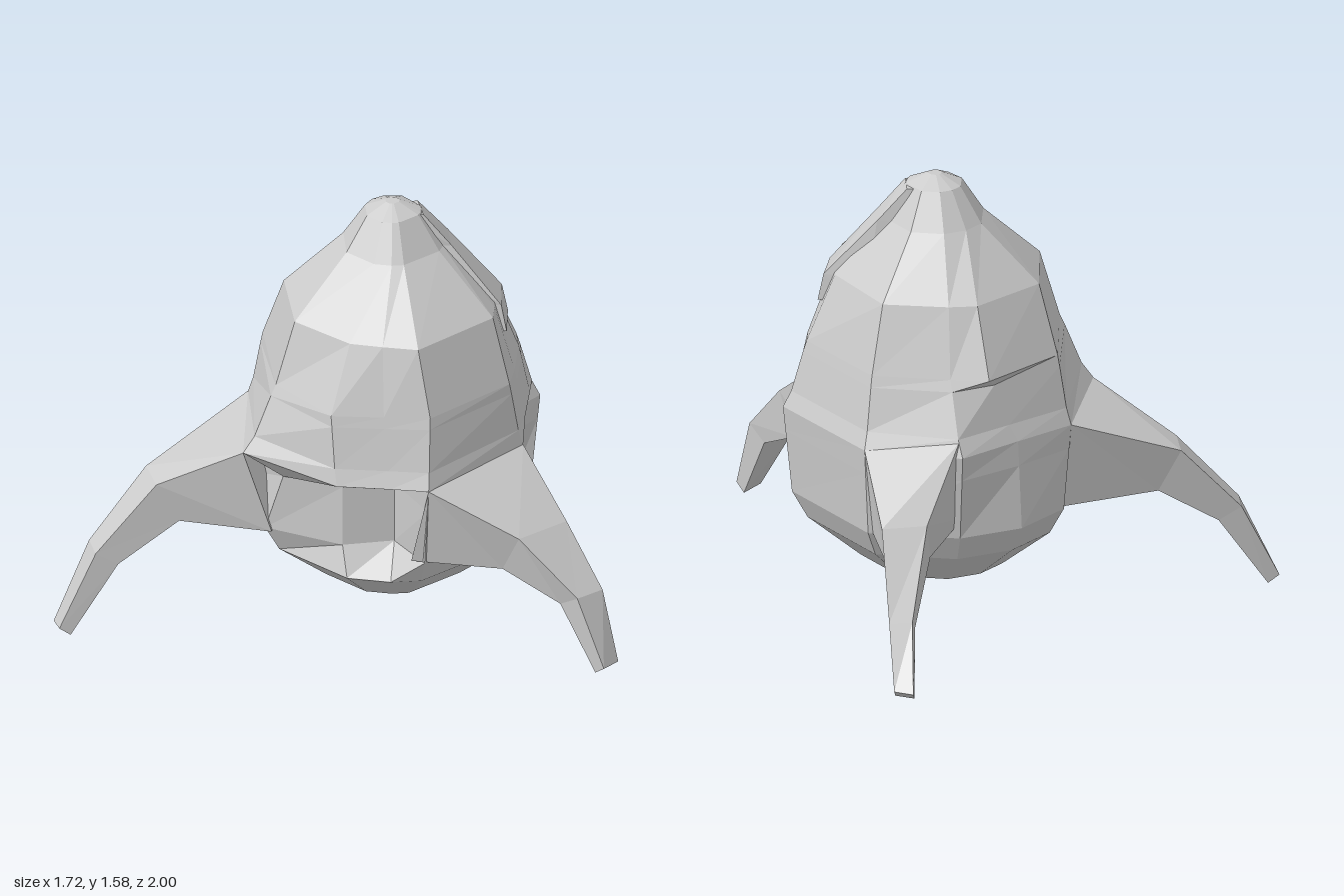
import * as THREE from 'three';

const CX = 0.33, CZ = 0.08;
const material = new THREE.MeshStandardMaterial({ color: 0xcccccc, flatShading: true, side: THREE.DoubleSide });

// Skin a closed surface over a list of rings of [x, y, z] points.
function loft(name, rings) {
  const n = rings[0].length, verts = [];
  const tri = (a, b, c) => verts.push(...a, ...b, ...c);
  for (let i = 0; i + 1 < rings.length; i++) {
    const lo = rings[i], hi = rings[i + 1];
    for (let j = 0; j < n; j++) {
      const k = (j + 1) % n;
      tri(lo[j], lo[k], hi[k]);
      tri(lo[j], hi[k], hi[j]);
    }
  }
  const first = rings[0], last = rings[rings.length - 1];
  for (let j = 1; j + 1 < n; j++) {
    tri(first[0], first[j + 1], first[j]);
    tri(last[0], last[j], last[j + 1]);
  }
  const geometry = new THREE.BufferGeometry();
  geometry.setAttribute('position', new THREE.Float32BufferAttribute(verts, 3));
  geometry.computeVertexNormals();
  const mesh = new THREE.Mesh(geometry, material);
  mesh.name = name;
  return mesh;
}

// Body outlines in plan, running right leg, front, side, back leg and round again.
const SKIRT = [[-0.25, 0.17], [-0.02, 0.5], [0.15, 0.58], [0.27, 0.64], [0.69, 0.43], [0.75, 0.34],
  [0.82, 0.19], [0.86, 0.12], [0.66, -0.33], [0.34, -0.47], [0.12, -0.35], [-0.09, -0.24]];
const WAIST = [[-0.13, 0.17], [-0.02, 0.44], [0.15, 0.51], [0.3, 0.57], [0.64, 0.43], [0.69, 0.34],
  [0.76, 0.18], [0.78, 0.1], [0.62, -0.26], [0.36, -0.35], [0.23, -0.39], [-0.05, -0.2]];
const SHOULDER = [[-0.06, 0.17], [0.07, 0.38], [0.17, 0.44], [0.28, 0.5], [0.6, 0.37], [0.63, 0.3],
  [0.67, 0.18], [0.68, 0.1], [0.57, -0.2], [0.35, -0.27], [0.25, -0.28], [0, -0.12]];

const at = (plan, y) => plan.map(([x, z]) => [x, y, z]);
const mix = (a, b, t) => a.map((p, i) => [p[0] + (b[i][0] - p[0]) * t, p[1] + (b[i][1] - p[1]) * t]);
const round = r => SKIRT.map(([x, z]) => {
  const a = Math.atan2(z - CZ, x - CX);
  return [CX + r * Math.cos(a), CZ + r * Math.sin(a)];
});
// Push chosen outline points in to form the sunken bays.
const inset = (plan, changes) => plan.map((p, i) => changes[i] || p);

function makeBody() {
  const frontBay = { 1: [0.05, 0.36], 2: [0.23, 0.39] };
  const sideBay = { 5: [0.7, 0.35], 6: [0.75, 0.18] };
  const sideBayFoot = { 5: [0.69, 0.38], 6: [0.76, 0.12] };
  return loft('body', [
    at(round(0.26), 0.15),
    at(round(0.445), 0.3),
    at(inset(round(0.5), { ...frontBay, ...sideBayFoot }), 0.4),
    at(inset(mix(SKIRT, round(0.5), 0.28), { ...frontBay, ...sideBay, 0: [-0.12, 0.22] }), 0.63),
    at(inset(SKIRT, sideBay), 0.72),
    at(inset(mix(SKIRT, WAIST, 0.35), { 9: [0.35, -0.44], 10: [0.15, -0.34] }), 0.78),
    at(inset(mix(SKIRT, WAIST, 0.85), { 10: [0.2, -0.33] }), 0.93),
    at(WAIST, 0.97),
    at(SHOULDER, 1.21),
    at(round(0.18), 1.415),
    at(round(0.1), 1.54),
    at(round(0.025), 1.575),
  ]);
}

// A leg follows two top edges; the underside is set inward and down from them.
function makeLeg(name, edgeA, edgeB) {
  const inward = [0.1, 0.08, 0.08, 0.04], drop = [0.32, 0.15, 0.05, 0.03];
  return loft(name, edgeA.map((a, i) => {
    const b = edgeB[i];
    const dx = CX - (a[0] + b[0]) / 2, dz = CZ - (a[2] + b[2]) / 2, d = Math.hypot(dx, dz);
    const under = p => [p[0] + dx / d * inward[i], p[1] - drop[i], p[2] + dz / d * inward[i]];
    return [a, b, under(b), under(a)];
  }));
}

// A plate running down from the crown, turning as it goes and standing proud at its foot.
function makeSidePlate() {
  const section = (inner, outer, w, y) => [[inner, -w], [outer, -w], [outer, w], [inner, w]].map(([r, side]) => {
    const turn = 0.06 + 0.75 * r, c = Math.cos(turn), s = Math.sin(turn);
    return [CX + r * c - s * side, y, CZ + r * s + c * side];
  });
  return loft('sidePlate', [
    section(0.25, 0.4, 0.075, 1.1),
    section(0.23, 0.38, 0.075, 1.2),
    section(0.08, 0.2, 0.06, 1.415),
    section(0.02, 0.1, 0.05, 1.535),
  ]);
}

export function createModel() {
  const model = new THREE.Group();
  model.name = 'threeLeggedPod';
  model.add(makeBody(), makeSidePlate());

  // Three splayed legs
  model.add(makeLeg('rightLeg',
    [[-0.25, 0.72, 0.17], [-0.51, 0.55, 0], [-0.73, 0.31, -0.01], [-0.86, 0.03, -0.02]],
    [[-0.09, 0.72, -0.24], [-0.5, 0.55, -0.14], [-0.72, 0.31, -0.11], [-0.86, 0.03, -0.08]]));
  model.add(makeLeg('frontLeg',
    [[0.69, 0.72, 0.43], [0.76, 0.54, 0.69], [0.83, 0.35, 0.87], [0.86, 0.1, 0.95]],
    [[0.27, 0.72, 0.64], [0.55, 0.56, 0.79], [0.72, 0.36, 0.92], [0.79, 0.11, 1]]));
  model.add(makeLeg('backLeg',
    [[0.35, 0.77, -0.45], [0.5, 0.55, -0.64], [0.59, 0.27, -0.83], [0.62, 0.07, -1]],
    [[0.66, 0.72, -0.33], [0.66, 0.55, -0.64], [0.67, 0.27, -0.82], [0.68, 0.07, -0.96]]));
  return model;
}
